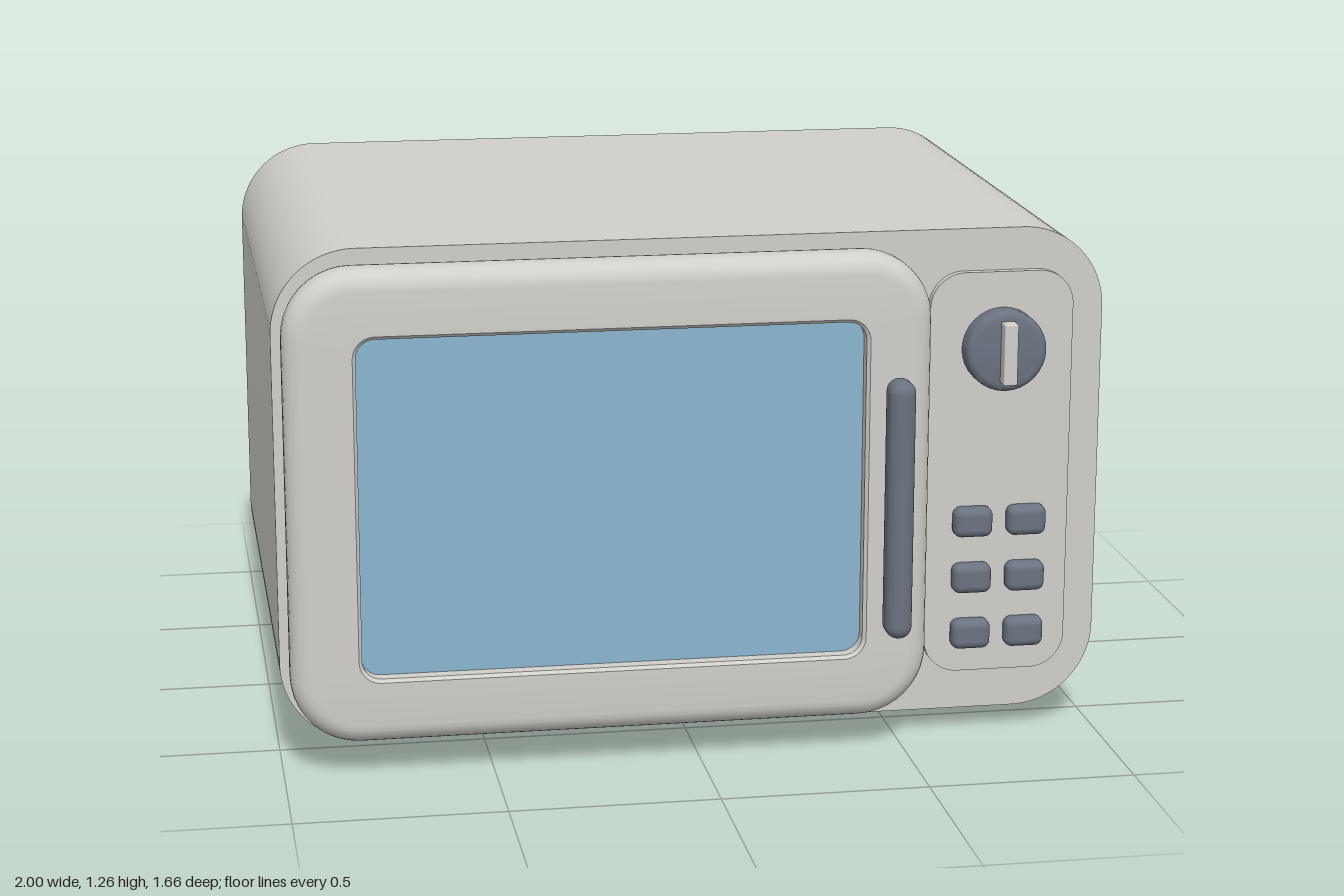
import * as THREE from 'three';
import { toCreasedNormals } from 'three/addons/utils/BufferGeometryUtils.js';
import { RoundedBoxGeometry } from 'three/addons/geometries/RoundedBoxGeometry.js';

const mat = (name, color, extra = {}) => {
  const m = new THREE.MeshStandardMaterial({ color, ...extra });
  m.name = name;
  return m;
};

// Rounded rectangle from its edges and corner radius
function roundedRect(x0, x1, y0, y1, r) {
  const s = new THREE.Shape();
  s.absarc(x1 - r, y1 - r, r, 0, Math.PI / 2);
  s.absarc(x0 + r, y1 - r, r, Math.PI / 2, Math.PI);
  s.absarc(x0 + r, y0 + r, r, Math.PI, Math.PI * 1.5);
  s.absarc(x1 - r, y0 + r, r, Math.PI * 1.5, Math.PI * 2);
  s.closePath();
  return s;
}

// Straight slab between two depths
function slab(shape, z0, z1) {
  const g = new THREE.ExtrudeGeometry(shape, { depth: z1 - z0, bevelEnabled: false, curveSegments: 12 });
  g.translate(0, 0, z0);
  return toCreasedNormals(g, 0.6);
}

// Skin through rounded-rectangle loops, each [x0, x1, y0, y1, r, z]
function loft(loops) {
  const n = 10, pos = [], idx = [], count = 4 * (n + 1);
  for (const [x0, x1, y0, y1, r, z] of loops) {
    const corners = [[x1 - r, y1 - r], [x0 + r, y1 - r], [x0 + r, y0 + r], [x1 - r, y0 + r]];
    corners.forEach(([cx, cy], c) => {
      for (let i = 0; i <= n; i++) {
        const a = (c + i / n) * Math.PI / 2;
        pos.push(cx + r * Math.cos(a), cy + r * Math.sin(a), z);
      }
    });
  }
  for (let k = 0; k < loops.length - 1; k++) {
    for (let i = 0; i < count; i++) {
      const j = (i + 1) % count;
      const a = k * count + i, b = k * count + j, c = a + count, d = b + count;
      idx.push(a, b, d, a, d, c);
    }
  }
  const g = new THREE.BufferGeometry();
  g.setAttribute('position', new THREE.Float32BufferAttribute(pos, 3));
  g.setIndex(idx);
  return toCreasedNormals(g, 0.6);
}

// Turned disc with a rounded far rim, standing on y = 0
function disc(radius, height, round) {
  const pts = [new THREE.Vector2(0, 0), new THREE.Vector2(radius, 0)];
  for (let i = 0; i <= 6; i++) {
    const a = i / 6 * Math.PI / 2;
    pts.push(new THREE.Vector2(radius - round + round * Math.cos(a), height - round + round * Math.sin(a)));
  }
  pts.push(new THREE.Vector2(0, height));
  return toCreasedNormals(new THREE.LatheGeometry(pts, 32), 0.6);
}

export function createModel() {
  const model = new THREE.Group();
  model.name = 'microwave';
  const shell = mat('warm light grey', 0xd0cfca);
  const dark = mat('slate grey', 0x6b7380);
  const glass = mat('blue glass', 0x8ab6d0);

  const add = (name, geometry, material, x = 0, y = 0, z = 0) => {
    const m = new THREE.Mesh(geometry, material);
    m.name = name;
    m.position.set(x, y, z);
    model.add(m);
    return m;
  };

  // Cabinet
  add('cabinet', slab(roundedRect(-1, 1, 0.055, 1.26, 0.2), -0.828, 0.61), shell);

  // Door frame: rounded outside, opening in the middle
  const zBack = 0.617, zFront = 0.742, round = 0.05;
  const outer = (inset, z) => [-0.98 + inset, 0.555 - inset, 0.085 + inset, 1.232 - inset, 0.165 - inset, z];
  const inner = (grow, z) => [-0.812 - grow, 0.392 + grow, 0.248 - grow, 1.07 + grow, 0.045 + grow, z];
  const loops = [inner(0, zBack)];
  for (let i = 0; i <= 6; i++) {
    const a = i / 6 * Math.PI / 2;
    loops.push(outer(round * (1 - Math.sin(a)), zBack + round * (1 - Math.cos(a))));
  }
  for (let i = 0; i <= 6; i++) {
    const a = i / 6 * Math.PI / 2;
    loops.push(outer(round * (1 - Math.cos(a)), zFront - round * (1 - Math.sin(a))));
  }
  loops.push(inner(0.008, zFront), inner(0, zFront - 0.008), inner(0, zBack));
  add('doorFrame', loft(loops), shell);

  // Window, set back in the frame
  add('doorWindow', slab(roundedRect(-0.812, 0.392, 0.248, 1.07, 0.045), zBack, 0.702), glass);

  // Door handle
  add('doorHandle', new RoundedBoxGeometry(0.064, 0.634, 0.086, 5, 0.031), dark, 0.465, 0.623, 0.785);

  // Control panel
  add('controlPanel', slab(roundedRect(0.57, 0.922, 0.158, 1.157, 0.085), 0.608, 0.631), shell);

  // Dial and its pointer
  add('dial', disc(0.099, 0.056, 0.018), dark, 0.748, 0.971, 0.629).rotation.x = Math.PI / 2;
  add('dialPointer', new RoundedBoxGeometry(0.034, 0.15, 0.045, 2, 0.004), shell, 0.748, 0.971, 0.697);

  // Buttons
  for (const x of [0.682, 0.815]) {
    for (const y of [0.542, 0.4, 0.258]) {
      add('button', new RoundedBoxGeometry(0.096, 0.074, 0.05, 4, 0.02), dark, x, y, 0.643);
    }
  }

  // Feet
  for (const x of [-0.75, 0.75]) {
    for (const z of [0.385, -0.535]) {
      add('foot', disc(0.057, 0.06, 0.025), dark, x, 0.06, z).rotation.x = Math.PI;
    }
  }
  return model;
}
